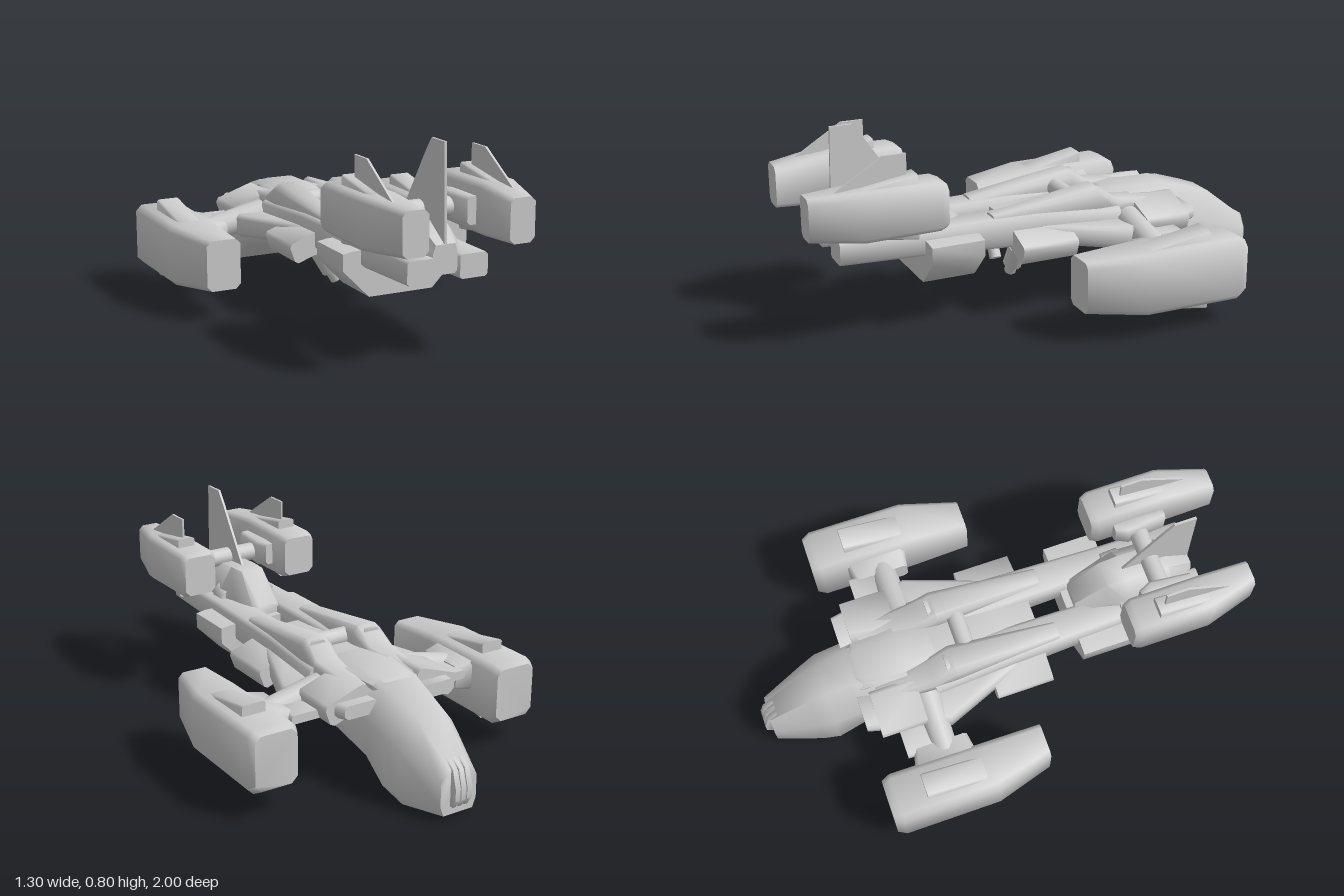
import * as THREE from 'three';
import { toCreasedNormals } from 'three/addons/utils/BufferGeometryUtils.js';

// Chamfered rectangle section at z, counter-clockwise seen from +z
function oct(z, x0, x1, y0, y1, c = 0.015) {
  return [[x1, y0 + c], [x1, y1 - c], [x1 - c, y1], [x0 + c, y1],
    [x0, y1 - c], [x0, y0 + c], [x0 + c, y0], [x1 - c, y0]].map(([x, y]) => [x, y, z]);
}

// Symmetric hull section: top half-width/height, side half-width with two heights, bottom half-width/height
function hullRing(z, tw, ty, sw, sy1, sy0, bw, by) {
  return [[sw, sy0], [sw, sy1], [tw, ty], [-tw, ty], [-sw, sy1], [-sw, sy0], [-bw, by], [bw, by]]
    .map(([x, y]) => [x, y, z]);
}

// Skin through sections ordered by rising z, with flat end caps
function loft(rings) {
  const p = [], n = rings[0].length;
  const tri = (a, b, c) => p.push(...a, ...b, ...c);
  for (let k = 0; k < rings.length - 1; k++) {
    const A = rings[k], B = rings[k + 1];
    for (let i = 0; i < n; i++) {
      const j = (i + 1) % n;
      tri(A[i], A[j], B[j]);
      tri(A[i], B[j], B[i]);
    }
  }
  const F = rings[0], L = rings[rings.length - 1];
  for (let i = 1; i < n - 1; i++) {
    tri(F[0], F[i + 1], F[i]);
    tri(L[0], L[i], L[i + 1]);
  }
  const g = new THREE.BufferGeometry();
  g.setAttribute('position', new THREE.Float32BufferAttribute(p, 3));
  return toCreasedNormals(g, 1.0);
}

// Mirror across x = 0, keeping faces outward
function mirror(geo) {
  const g = geo.index ? geo.toNonIndexed() : geo.clone();
  for (const name of ['position', 'normal']) {
    const a = g.attributes[name];
    for (let i = 0; i < a.count; i += 3) {
      const v = [0, 2, 1].map(k => [-a.getX(i + k), a.getY(i + k), a.getZ(i + k)]);
      v.forEach((q, k) => a.setXYZ(i + k, ...q));
    }
  }
  return g;
}

// Cylinder between two points
function rod(a, b, r0, r1 = r0, sides = 14) {
  const A = new THREE.Vector3(...a), B = new THREE.Vector3(...b), d = B.clone().sub(A);
  const g = new THREE.CylinderGeometry(r1, r0, d.length(), sides);
  g.applyQuaternion(new THREE.Quaternion().setFromUnitVectors(new THREE.Vector3(0, 1, 0), d.normalize()));
  return g.translate(...A.add(B).multiplyScalar(0.5).toArray());
}

// Thin upright plate from a (z, y) outline
function plate(x, t, outline) {
  const s = new THREE.Shape(outline.map(([z, y]) => new THREE.Vector2(-z, y)));
  return new THREE.ExtrudeGeometry(s, { depth: t, bevelEnabled: false })
    .translate(0, 0, -t / 2).rotateY(Math.PI / 2).translate(x, 0, 0);
}

export function createModel() {
  const model = new THREE.Group();
  const grey = new THREE.MeshStandardMaterial({ color: 0xcccccc });
  grey.name = 'hull grey';
  const add = (name, geo) => {
    const m = new THREE.Mesh(geo, grey);
    m.name = name;
    model.add(m);
  };
  const pair = (name, geo) => {
    add(name + 'Left', geo);
    add(name + 'Right', mirror(geo));
  };

  // Main hull with drooping nose
  add('hull', loft([
    hullRing(-0.97, 0.04, 0.2, 0.08, 0.15, 0.06, 0.065, 0.02),
    hullRing(-0.79, 0.06, 0.34, 0.137, 0.22, 0.045, 0.115, 0.003),
    hullRing(-0.72, 0.065, 0.365, 0.155, 0.25, 0.06, 0.12, 0.035),
    hullRing(-0.61, 0.075, 0.4, 0.155, 0.28, 0.14, 0.12, 0.11),
    hullRing(-0.3, 0.12, 0.4, 0.2, 0.34, 0.25, 0.12, 0.18),
    hullRing(0.02, 0.12, 0.39, 0.18, 0.36, 0.29, 0.11, 0.25),
    hullRing(0.17, 0.1, 0.38, 0.15, 0.36, 0.31, 0.1, 0.28)]));
  add('dorsalHump', loft([
    hullRing(-0.62, 0.04, 0.385, 0.08, 0.37, 0.34, 0.08, 0.33),
    hullRing(-0.57, 0.06, 0.412, 0.1, 0.39, 0.34, 0.1, 0.33),
    hullRing(-0.37, 0.06, 0.415, 0.11, 0.39, 0.34, 0.1, 0.33),
    hullRing(-0.26, 0.06, 0.4, 0.1, 0.38, 0.34, 0.1, 0.33)]));
  // Nose gun cluster
  for (const x of [-0.026, 0, 0.026])
    add('noseGun', loft([oct(-1, x - 0.011, x + 0.011, 0.08, 0.135, 0.004),
      oct(-0.98, x - 0.011, x + 0.011, 0.05, 0.2, 0.004),
      oct(-0.93, x - 0.011, x + 0.011, 0.05, 0.23, 0.004)]));

  // Shoulder wing roots
  pair('wingRoot', loft([
    oct(-0.61, 0.1, 0.25, 0.3, 0.355),
    oct(-0.28, 0.1, 0.32, 0.245, 0.335),
    oct(0.04, 0.1, 0.2, 0.28, 0.35)]));
  // Sloping shoulder pods and flank boxes
  const pod = loft([oct(-0.56, -0.09, 0.1, -0.045, 0.045), oct(-0.37, -0.09, 0.1, -0.045, 0.045)]);
  pair('shoulderPod', pod.rotateZ(-0.33).translate(0.195, 0.335, 0));
  const flank = loft([-0.07, 0.165].map(z => oct(z, -0.09, 0.085, -0.044, 0.04, 0.012)));
  pair('flankBox', flank.rotateZ(-0.35).translate(0.198, 0.3, 0));

  // Front struts, collars and nacelles
  pair('frontStrut', rod([0.18, 0.325, -0.34], [0.46, 0.265, -0.34], 0.055, 0.05));
  pair('frontStrutFairing', loft([oct(-0.49, 0.2, 0.4, 0.275, 0.31, 0.008), oct(-0.38, 0.2, 0.4, 0.255, 0.31, 0.008)]));
  const collar = loft([oct(-0.03, -0.12, 0.1, -0.05, 0.05), oct(0.045, -0.13, 0.12, -0.06, 0.065)]);
  pair('frontCollar', collar.rotateY(Math.PI / 2).translate(0.41, 0.265, -0.36));
  pair('frontNacelle', loft([
    oct(-0.62, 0.458, 0.635, 0.118, 0.335, 0.025),
    oct(-0.585, 0.445, 0.65, 0.1, 0.35, 0.025),
    oct(-0.19, 0.445, 0.65, 0.103, 0.347, 0.025),
    oct(0.045, 0.445, 0.585, 0.128, 0.33, 0.02)]));
  pair('frontNacellePad', loft([
    oct(-0.47, 0.5, 0.598, 0.067, 0.392, 0.008),
    oct(-0.21, 0.5, 0.598, 0.11, 0.345, 0.008)]));

  // Dorsal engine humps, side knobs and cross tube
  pair('dorsalEngine', loft([
    oct(-0.53, 0.09, 0.17, 0.34, 0.385),
    oct(-0.3, 0.065, 0.185, 0.34, 0.41),
    oct(-0.21, 0.055, 0.185, 0.34, 0.47, 0.025),
    oct(0.235, 0.085, 0.16, 0.34, 0.41, 0.012)]));
  pair('dorsalKnob', loft([oct(-0.24, 0.085, 0.165, 0.4, 0.462), oct(-0.08, 0.08, 0.13, 0.4, 0.45, 0.012)]));
  add('crossTube', rod([-0.09, 0.41, -0.135], [0.09, 0.41, -0.135], 0.036));

  // Twin tail booms
  pair('tailBoom', loft([
    oct(-0.3, 0.04, 0.2, 0.27, 0.385),
    oct(0.05, 0.04, 0.185, 0.27, 0.4),
    oct(0.5, 0.045, 0.17, 0.295, 0.4),
    oct(0.86, 0.05, 0.165, 0.31, 0.4, 0.01)]));
  // Belly block under the booms
  add('bellyBlock', loft([0.31, 0.525].map(z => hullRing(z, 0.2, 0.362, 0.243, 0.355, 0.29, 0.135, 0.18))));
  // Belly guns, leaning inward
  pair('bellyGun', rod([0.15, 0.27, 0.13], [0.095, 0.18, 0.13], 0.038));
  pair('bellyGunBarrel', rod([0.105, 0.195, 0.13], [0.072, 0.14, 0.13], 0.024));

  // Tail pylon and fin
  add('tailPylon', loft([
    hullRing(0.34, 0.04, 0.4, 0.07, 0.38, 0.34, 0.06, 0.33),
    hullRing(0.47, 0.05, 0.52, 0.095, 0.42, 0.34, 0.08, 0.33),
    hullRing(0.55, 0.055, 0.52, 0.12, 0.42, 0.35, 0.1, 0.33),
    hullRing(0.73, 0.055, 0.51, 0.115, 0.42, 0.35, 0.1, 0.33),
    hullRing(0.84, 0.04, 0.44, 0.05, 0.41, 0.34, 0.04, 0.33)]));
  add('pylonStep', loft([hullRing(0.51, 0.1, 0.43, 0.128, 0.41, 0.36, 0.12, 0.35),
    hullRing(0.58, 0.1, 0.45, 0.128, 0.42, 0.36, 0.12, 0.35)]));
  add('tailFin', plate(0, 0.01, [[0.53, 0.49], [0.7, 0.75], [0.74, 0.805], [0.83, 0.805], [0.84, 0.42], [0.6, 0.42]]));

  // Rear cross tube, collars and nacelles
  add('rearCrossTube', rod([-0.2, 0.53, 0.665], [0.2, 0.53, 0.665], 0.038));
  pair('rearCollar', loft([
    oct(0.57, 0.13, 0.18, 0.49, 0.58, 0.01),
    oct(0.62, 0.108, 0.18, 0.48, 0.585, 0.012),
    oct(0.78, 0.125, 0.18, 0.48, 0.585, 0.012)]));
  pair('rearNacelle', loft([
    oct(0.48, 0.172, 0.312, 0.455, 0.62, 0.02),
    oct(0.51, 0.162, 0.322, 0.445, 0.632, 0.02),
    oct(0.8, 0.162, 0.322, 0.442, 0.637, 0.02),
    oct(1, 0.162, 0.265, 0.455, 0.62, 0.018)]));
  pair('rearNacellePad', loft([
    oct(0.59, 0.208, 0.284, 0.415, 0.67, 0.007),
    oct(0.8, 0.208, 0.284, 0.445, 0.637, 0.007)]));
  pair('nacelleFin', plate(0.243, 0.009, [[0.62, 0.62], [0.62, 0.745], [0.71, 0.745], [0.91, 0.62]]));

  return model;
}
